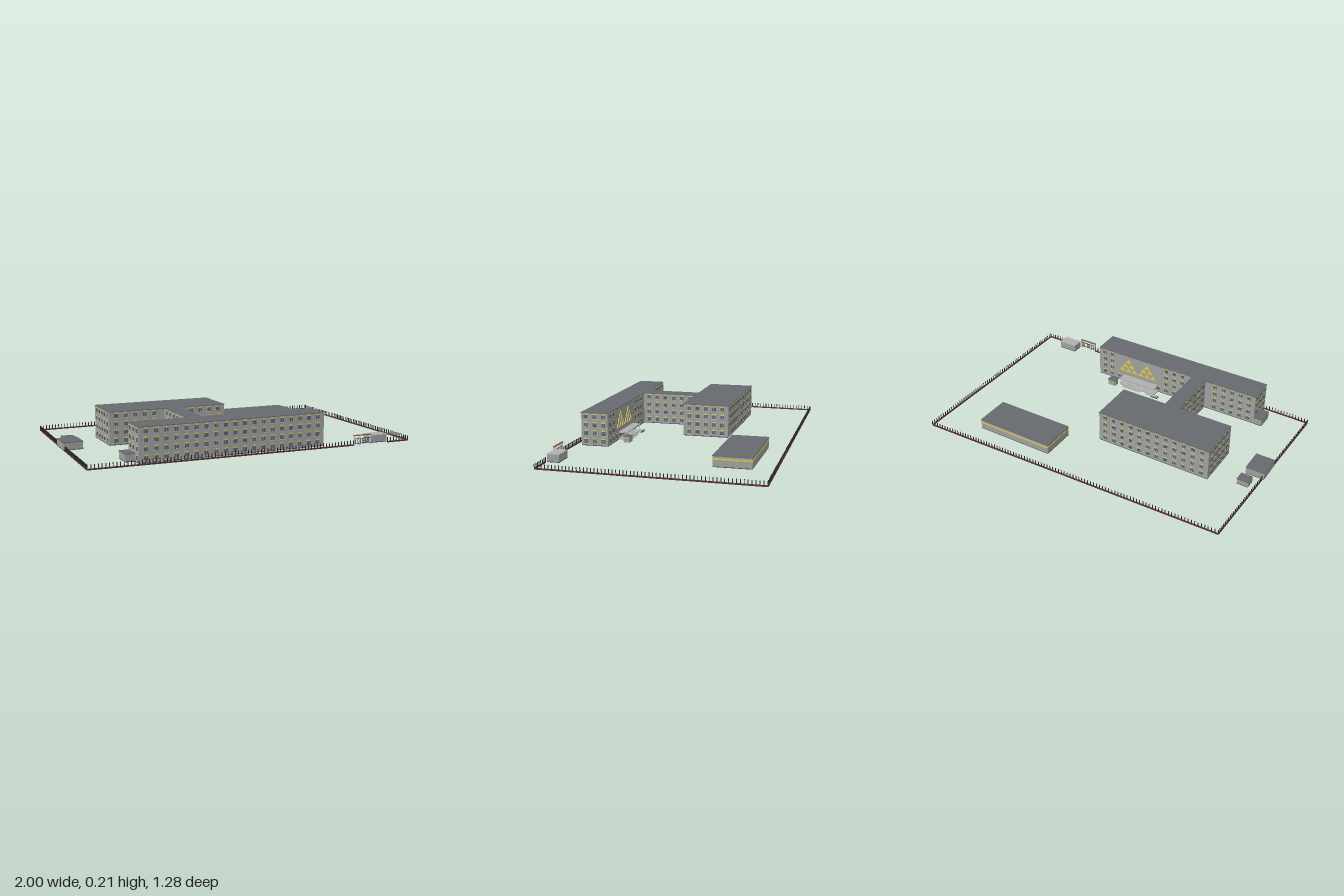
import * as THREE from 'three';
import { mergeGeometries } from 'three/addons/utils/BufferGeometryUtils.js';

const mat = (color) => new THREE.MeshStandardMaterial({ color });
const M = {
  wall: mat(0x9fa19f), roof: mat(0x666a70), dark: mat(0x484a4d), glass: mat(0x59636e),
  yellow: mat(0xdcc850), frame: mat(0xc4c6c4), light: mat(0xaeb0ae), curb: mat(0x5c302c),
  post: mat(0x2c2a2a), brown: mat(0x8a6a48), pane: mat(0x8fa3b0),
};
const BASE = 0.008, TOP = 0.208;

// Box geometry given by its min and max corners
function box(x0, x1, y0, y1, z0, z1) {
  return new THREE.BoxGeometry(x1 - x0, y1 - y0, z1 - z0)
    .translate((x0 + x1) / 2, (y0 + y1) / 2, (z0 + z1) / 2);
}
function add(parent, name, material, geos) {
  const list = Array.isArray(geos) ? geos : [geos];
  if (!list.length) return;
  const mesh = new THREE.Mesh(list.length > 1 ? mergeGeometries(list) : list[0], material);
  mesh.name = name;
  parent.add(mesh);
}

// Plain block: plinth, walls and a slightly overhanging roof slab
function block(parent, name, x0, x1, z0, z1, top, roofMat = M.roof) {
  const g = new THREE.Group();
  g.name = name;
  add(g, 'plinth', M.dark, box(x0, x1, BASE, BASE + 0.004, z0, z1));
  add(g, 'walls', M.wall, box(x0, x1, BASE + 0.004, top - 0.004, z0, z1));
  add(g, 'roof', roofMat, box(x0 - 0.002, x1 + 0.002, top - 0.004, top, z0 - 0.002, z1 + 0.002));
  parent.add(g);
  return g;
}

// Rows of paired windows along a wall; local x runs along it, local z points outward
function facade(parent, name, cx, cz, angle, length, bays, skip = () => false) {
  const g = new THREE.Group();
  g.name = name;
  g.position.set(cx, 0, cz);
  g.rotation.y = angle;
  const panes = [], frames = [], panels = [];
  const step = length / bays;
  for (let floor = 0; floor < 4; floor++) {
    const head = 0.047 + floor * 0.049;
    for (let i = 0; i < bays; i++) {
      const x = -length / 2 + step * (i + 0.5);
      if (skip(x * Math.cos(angle) + cx, floor)) continue;
      panels.push(box(x - 0.012, x + 0.012, head, head + 0.007, -0.001, 0.0015));
      frames.push(box(x - 0.013, x + 0.013, head - 0.026, head - 0.024, -0.001, 0.0025));
      for (const s of [-1, 1]) {
        const c = x + s * 0.0065;
        panes.push(box(c - 0.005, c + 0.005, head - 0.024, head - 0.001, -0.001, 0.0012));
      }
    }
  }
  add(g, 'windowPanes', M.glass, panes);
  add(g, 'windowSills', M.frame, frames);
  add(g, 'yellowPanels', M.yellow, panels);
  parent.add(g);
}

// Flat triangles stacked in a pyramid with gaps, facing -z
function mural(parent, z) {
  const tris = [];
  const tri = (x, y, w, h) => {
    const s = new THREE.Shape();
    s.moveTo(x - w / 2, y);
    s.lineTo(x + w / 2, y);
    s.lineTo(x, y + h);
    s.closePath();
    tris.push(new THREE.ExtrudeGeometry(s, { depth: 0.003, bevelEnabled: false }).translate(0, 0, z - 0.003));
  };
  for (const [cx, rows] of [[0.2, 3], [0.06, 3]]) {
    for (let r = 0; r < rows; r++) {
      for (let i = 0; i < rows - r; i++) {
        tri(cx + (i - (rows - r - 1) / 2) * 0.046, 0.085 + r * 0.033, 0.044, 0.031);
      }
    }
  }
  add(parent, 'wallMural', M.yellow, tris);
}

// Curb with evenly spaced posts between two ground points
function fence(parent, name, [ax, az], [bx, bz]) {
  const g = new THREE.Group();
  g.name = name;
  const len = Math.hypot(bx - ax, bz - az);
  g.position.set((ax + bx) / 2, 0, (az + bz) / 2);
  g.rotation.y = -Math.atan2(bz - az, bx - ax);
  add(g, 'curb', M.curb, box(-len / 2, len / 2, 0.004, 0.012, -0.003, 0.003));
  const n = Math.max(1, Math.round(len / 0.02)), posts = [];
  for (let i = 0; i <= n; i++) {
    const x = -len / 2 + (len * i) / n;
    posts.push(box(x - 0.002, x + 0.002, 0.01, 0.035, -0.002, 0.002));
  }
  add(g, 'posts', M.post, posts);
  parent.add(g);
}

export function createModel() {
  const root = new THREE.Group();
  root.name = 'schoolComplex';
  const H = Math.PI / 2;
  const atCorridor = (x) => x > -0.385 && x < -0.25;

  // Long front wing
  const front = block(root, 'frontWing', -0.71, 0.425, 0.415, 0.58, TOP);
  facade(front, 'frontWindows', -0.1425, 0.58, 0, 1.11, 19);
  facade(front, 'backWindows', -0.1425, 0.415, Math.PI, 1.11, 19,
    (x, f) => atCorridor(x) || (x > -0.03 && x < 0.29 && f > 0));
  facade(front, 'leftWindows', 0.425, 0.4975, H, 0.165, 3);
  facade(front, 'rightWindows', -0.71, 0.4975, -H, 0.165, 3);
  mural(front, 0.415);

  // Connecting corridor
  const link = block(root, 'corridor', -0.365, -0.27, 0.06, 0.42, TOP);
  facade(link, 'leftWindows', -0.27, 0.24, H, 0.335, 6);
  facade(link, 'rightWindows', -0.365, 0.24, -H, 0.335, 6);

  // Rear block
  const rear = block(root, 'rearBlock', -0.71, 0.025, -0.22, 0.065, TOP);
  facade(rear, 'frontWindows', -0.3425, 0.065, 0, 0.71, 12, atCorridor);
  facade(rear, 'backWindows', -0.3425, -0.22, Math.PI, 0.71, 12);
  facade(rear, 'leftWindows', 0.025, -0.0775, H, 0.26, 5);
  facade(rear, 'rightWindows', -0.71, -0.0775, -H, 0.26, 5);

  // Low separate hall with a yellow band
  const hall = block(root, 'lowHall', 0.21, 0.71, -0.505, -0.285, 0.073);
  add(hall, 'yellowBand', M.yellow, box(0.2085, 0.7115, 0.049, 0.058, -0.5065, -0.2835));

  // Side annex and small sheds
  block(root, 'sideAnnex', -0.765, -0.708, 0.415, 0.52, 0.055);
  block(root, 'smallShed', -0.94, -0.87, -0.165, -0.105, 0.045);
  block(root, 'largeShed', -0.99, -0.875, -0.055, 0.09, 0.055);

  // Entrance: porch floor, canopy on posts, steps and a small kiosk
  const porch = new THREE.Group();
  porch.name = 'entrancePorch';
  add(porch, 'floor', M.light, box(-0.025, 0.235, BASE, 0.016, 0.36, 0.415));
  add(porch, 'canopy', M.light, box(-0.025, 0.235, 0.05, 0.056, 0.36, 0.415));
  add(porch, 'canopyPosts', M.frame, [0, 1, 2, 3, 4].map((i) => {
    const x = -0.02 + i * 0.0625;
    return box(x - 0.003, x + 0.003, 0.016, 0.05, 0.363, 0.369);
  }));
  add(porch, 'ramp', M.light, box(-0.055, 0.03, BASE, 0.014, 0.345, 0.36));
  add(porch, 'steps', M.light, [0, 1].map((i) =>
    box(0.075, 0.205, BASE, 0.011 + i * 0.003, 0.34 + i * 0.01, 0.36)));
  add(porch, 'footing', M.dark, box(-0.055, -0.008, 0, BASE, 0.345, 0.368));
  root.add(porch);
  const kiosk = new THREE.Group();
  kiosk.name = 'kiosk';
  add(kiosk, 'roof', M.roof, box(0.245, 0.305, 0.043, 0.047, 0.32, 0.365));
  add(kiosk, 'fascia', M.yellow, box(0.247, 0.303, 0.039, 0.043, 0.322, 0.363));
  add(kiosk, 'walls', M.wall, box(0.249, 0.301, BASE, 0.039, 0.324, 0.361));
  root.add(kiosk);

  // Gatehouse
  const hut = block(root, 'gatehouse', 0.722, 0.84, 0.547, 0.618, 0.055, M.light);
  add(hut, 'frontWindow', M.pane, box(0.74, 0.822, 0.022, 0.043, 0.617, 0.6195));
  add(hut, 'leftWindow', M.pane, box(0.839, 0.8415, 0.022, 0.043, 0.565, 0.6));

  // Gate: posts, beam and barred leaves
  const gate = new THREE.Group();
  gate.name = 'gate';
  add(gate, 'gatePosts', M.frame, [0.605, 0.64, 0.715].map((x) =>
    box(x - 0.004, x + 0.004, 0.004, 0.064, 0.624, 0.634)));
  add(gate, 'topBeam', M.brown, box(0.6, 0.72, 0.062, 0.067, 0.623, 0.635));
  const bars = [box(0.605, 0.715, 0.016, 0.019, 0.628, 0.631), box(0.605, 0.715, 0.043, 0.046, 0.628, 0.631)];
  for (let i = 1; i < 10; i++) {
    const x = 0.605 + i * 0.011;
    bars.push(box(x - 0.001, x + 0.001, 0.012, 0.046, 0.6285, 0.6305));
  }
  add(gate, 'bars', M.post, bars);
  root.add(gate);

  // Boundary fence with an opening for the gate and gatehouse
  const bl = [-0.965, -0.595], br = [0.995, -0.639], fr = [0.985, 0.628], fl = [-0.997, 0.597];
  fence(root, 'backFence', bl, br);
  fence(root, 'leftFence', br, fr);
  fence(root, 'rightFence', bl, fl);
  fence(root, 'frontFence', fl, [0.6, 0.628]);
  fence(root, 'frontFenceCorner', [0.84, 0.628], fr);
  return root;
}
